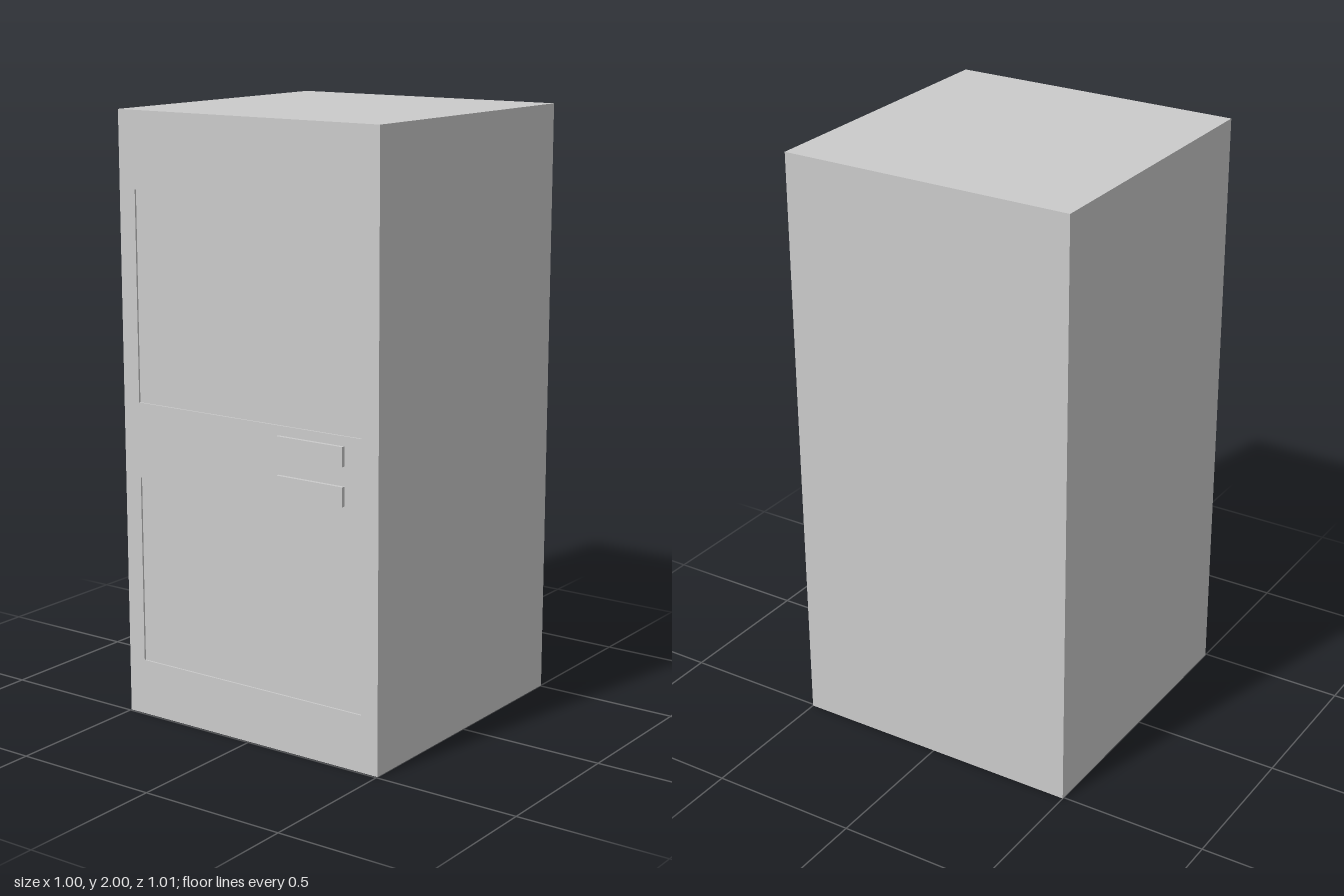
import * as THREE from 'three';

const material = new THREE.MeshStandardMaterial({ color: 0xcccccc, flatShading: true });

const BACK = -0.506, FRONT = 0.494, RECESS = 0.006;
const HANDLE_DEPTH = 0.012;

// Rectangle traced around its corners, used for the door outline and its openings
function rect(path, x0, y0, x1, y1) {
  path.moveTo(x0, y0);
  path.lineTo(x1, y0);
  path.lineTo(x1, y1);
  path.lineTo(x0, y1);
  path.closePath();
  return path;
}

function addMesh(group, name, geometry, x, y, z) {
  const mesh = new THREE.Mesh(geometry, material);
  mesh.name = name;
  mesh.position.set(x, y, z);
  group.add(mesh);
}

export function createModel() {
  const group = new THREE.Group();
  group.name = 'cabinet';

  // Solid body; its front is the floor of the recessed panels
  const depth = FRONT - RECESS - BACK;
  addMesh(group, 'body', new THREE.BoxGeometry(1, 2, depth), 0, 1, BACK + depth / 2);

  // Thin front frame with an upper and a lower panel opening
  const frame = rect(new THREE.Shape(), -0.5, 0, 0.5, 2);
  for (const [bottom, top] of [[0.1875, 0.8125], [1.0625, 1.75]]) {
    frame.holes.push(rect(new THREE.Path(), -0.4375, bottom, 0.4375, top));
  }
  const frameGeometry = new THREE.ExtrudeGeometry(frame, { depth: RECESS, bevelEnabled: false });
  addMesh(group, 'frontFrame', frameGeometry, 0, 0, FRONT - RECESS);

  // Two flat handles on the rail between the panels
  for (const [name, y] of [['upperHandle', 1], ['lowerHandle', 0.875]]) {
    addMesh(group, name, new THREE.BoxGeometry(0.25, 0.0625, HANDLE_DEPTH + RECESS),
      0.25, y, FRONT + (HANDLE_DEPTH - RECESS) / 2);
  }

  return group;
}
